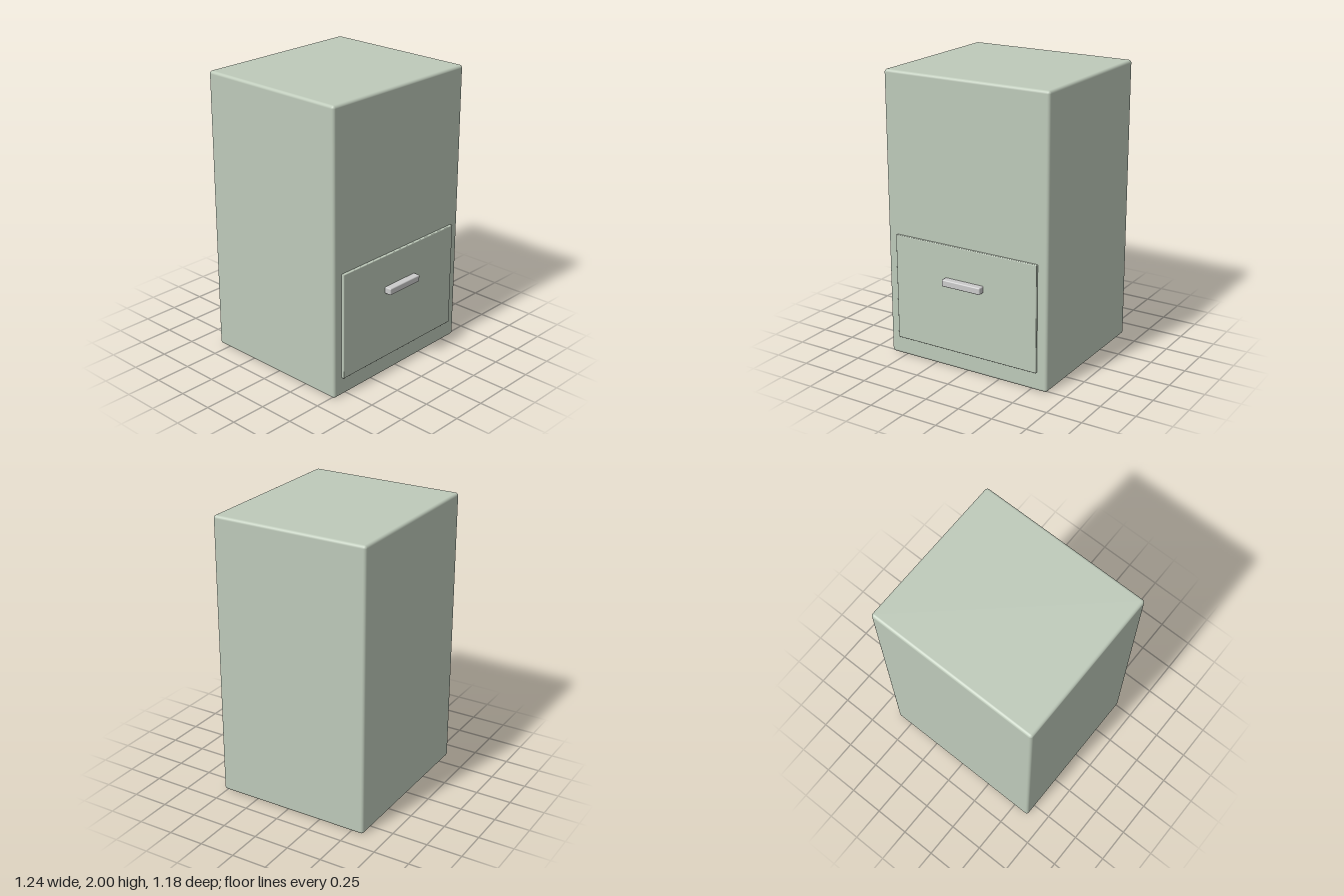
import * as THREE from 'three';
import { RoundedBoxGeometry } from 'three/addons/geometries/RoundedBoxGeometry.js';

const sage = new THREE.MeshStandardMaterial({ color: 0xbecaba });
const grey = new THREE.MeshStandardMaterial({ color: 0xcccccc });

// Soft-edged box given by its half width and its y and z ranges
function roundedPart(name, halfWidth, [y0, y1], [z0, z1], radius, material) {
  const geometry = new RoundedBoxGeometry(2 * halfWidth, y1 - y0, z1 - z0, 3, radius);
  const mesh = new THREE.Mesh(geometry, material);
  mesh.name = name;
  mesh.position.set(0, (y0 + y1) / 2, (z0 + z1) / 2);
  return mesh;
}

export function createModel() {
  const cabinet = new THREE.Group();
  cabinet.name = 'cabinet';
  cabinet.add(
    // Tall closed carcass
    roundedPart('cabinetBody', 0.62, [0, 2], [-0.59, 0.525], 0.02, sage),
    // Drawer front, slightly proud of the body
    roundedPart('drawerFront', 0.547, [0.13, 0.88], [0.505, 0.543], 0.006, sage),
    // Bar pull on the drawer
    roundedPart('drawerHandle', 0.149, [0.606, 0.654], [0.535, 0.59], 0.008, grey),
  );
  return cabinet;
}
